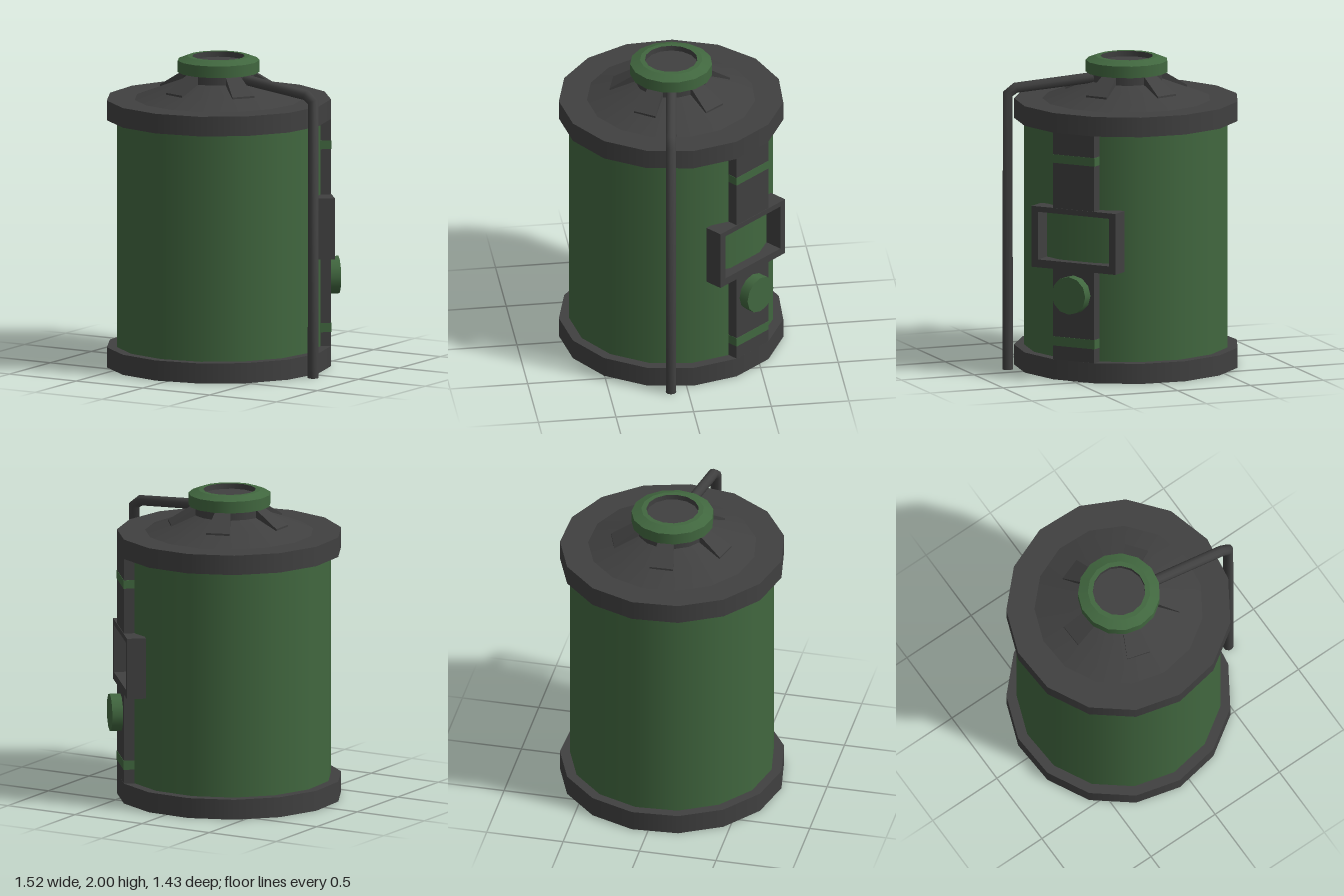
import * as THREE from 'three';

const SIDES = 15;
const AXIS_X = -0.048;
const rad = THREE.MathUtils.degToRad;

// Path with straight runs and mitred corners, for the pipe
class Polyline extends THREE.Curve {
  constructor(points) { super(); this.points = points; }
  getPoint(t) {
    const n = this.points.length - 1;
    const i = Math.min(Math.floor(t * n + 1e-6), n - 1);
    return this.points[i].clone().lerp(this.points[i + 1], t * n - i);
  }
  getPointAt(t) { return this.getPoint(t); }
  getTangentAt(t) {
    const p = this.points, n = p.length - 1, i = Math.round(t * n);
    const dir = (a, b) => p[b].clone().sub(p[a]).normalize();
    const out = new THREE.Vector3();
    if (i > 0) out.add(dir(i - 1, i));
    if (i < n) out.add(dir(i, i + 1));
    return out.normalize();
  }
}

export function createModel() {
  const model = new THREE.Group();
  model.name = 'storageTank';
  const grey = new THREE.MeshStandardMaterial({ color: 0x404040, side: THREE.DoubleSide });
  grey.name = 'darkGrey';
  const green = new THREE.MeshStandardMaterial({ color: 0x41673f, side: THREE.DoubleSide });
  green.name = 'green';

  const add = (parent, name, geometry, material) => {
    const mesh = new THREE.Mesh(geometry, material);
    mesh.name = name;
    parent.add(mesh);
    return mesh;
  };

  const tank = new THREE.Group();
  tank.name = 'tank';
  tank.position.x = AXIS_X;
  model.add(tank);

  // Turned shell: each profile edge is its own band, so rims stay sharp
  const turned = (name, material, profile) => {
    const group = new THREE.Group();
    group.name = name;
    group.rotation.y = rad(-2.4);
    for (let i = 0; i < profile.length - 1; i++) {
      const pts = [profile[i], profile[i + 1]].map(([r, y]) => new THREE.Vector2(r, y));
      add(group, name + 'Band', new THREE.LatheGeometry(pts, SIDES), material);
    }
    tank.add(group);
  };
  turned('baseRing', grey, [[0.72, 0], [0.72, 0.13], [0.655, 0.13]]);
  turned('body', green, [[0.655, 0.13], [0.655, 1.6]]);
  turned('topRing', grey, [[0.655, 1.6], [0.72, 1.6], [0.72, 1.727], [0.54, 1.727]]);
  turned('lid', grey, [[0.54, 1.727], [0.23, 1.845], [0.23, 1.9]]);
  turned('cap', green, [[0.23, 1.9], [0.263, 1.9], [0.263, 1.975], [0.2, 2], [0.168, 2]]);
  turned('capWell', grey, [[0.168, 2], [0.168, 1.965], [0, 1.965]]);

  // Five tapered fins between lid and cap
  for (let k = 0; k < 5; k++) {
    const geo = new THREE.BoxGeometry(1, 1, 1).toNonIndexed();
    const pos = geo.attributes.position;
    for (let i = 0; i < pos.count; i++) {
      const outer = pos.getZ(i) > 0, top = pos.getY(i) > 0;
      pos.setXYZ(i,
        Math.sign(pos.getX(i)) * (outer ? 0.077 : 0.05),
        outer ? (top ? 1.795 : 1.77) : (top ? 1.9 : 1.8),
        outer ? 0.385 : 0.22);
    }
    geo.computeVertexNormals();
    add(tank, 'lidFin', geo, grey).rotation.y = rad(56 - 72 * k);
  }

  // Side panel, local z pointing outwards from the tank axis
  const panel = new THREE.Group();
  panel.name = 'sidePanel';
  panel.rotation.y = rad(129.6);
  tank.add(panel);

  const box = (name, material, w, y0, y1, z0, z1) => {
    const mesh = add(panel, name, new THREE.BoxGeometry(w, y1 - y0, z1 - z0), material);
    mesh.position.set(0, (y0 + y1) / 2, (z0 + z1) / 2);
  };
  box('lowerStrip', grey, 0.298, 0.13, 0.74, 0.63, 0.704);
  box('upperStrip', grey, 0.298, 1.09, 1.6, 0.63, 0.704);
  box('lowerStripe', green, 0.302, 0.22, 0.28, 0.632, 0.706);
  box('upperStripe', green, 0.302, 1.405, 1.46, 0.632, 0.706);

  // Window frame with an opening on the body
  const rect = (path, x, y0, y1) => {
    path.moveTo(-x, y0);
    path.lineTo(x, y0);
    path.lineTo(x, y1);
    path.lineTo(-x, y1);
    path.closePath();
    return path;
  };
  const frame = rect(new THREE.Shape(), 0.305, 0.717, 1.112);
  frame.holes.push(rect(new THREE.Path(), 0.26, 0.768, 1.077));
  const frameGeo = new THREE.ExtrudeGeometry(frame, { depth: 0.122, bevelEnabled: false });
  add(panel, 'windowFrame', frameGeo, grey).position.z = 0.585;

  // Round knob below the frame
  const knobGeo = new THREE.CylinderGeometry(0.122, 0.122, 0.075, 12).rotateX(Math.PI / 2);
  add(panel, 'knob', knobGeo, green).position.set(0, 0.565, 0.736);

  // Pipe from the neck down to the ground
  const path = new Polyline([
    [0.14, 1.872, 0.025], [0.675, 1.823, 0.101], [0.727, 1.785, 0.108], [0.727, 0, 0.108],
  ].map((p) => new THREE.Vector3(...p)));
  add(model, 'pipe', new THREE.TubeGeometry(path, 3, 0.035, 10), grey);
  const end = add(model, 'pipeEnd', new THREE.CircleGeometry(0.035, 10), grey);
  end.rotation.x = Math.PI / 2;
  end.position.set(0.727, 0.001, 0.108);

  return model;
}
